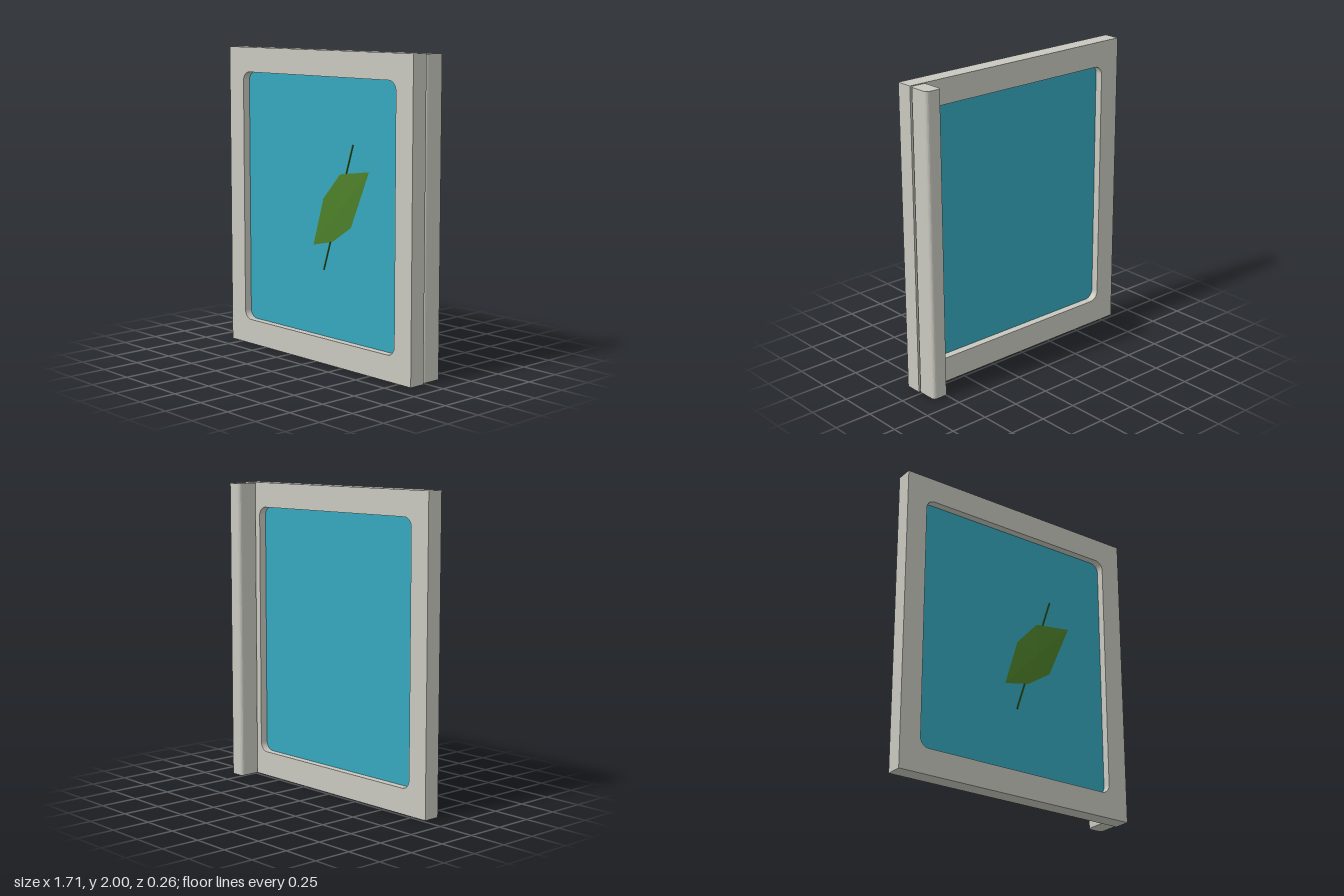
import * as THREE from 'three';

// Rounded rectangle outline, for a shape or a hole
function roundedRect(path, x0, y0, x1, y1, r) {
  path.moveTo(x0 + r, y0);
  path.lineTo(x1 - r, y0);
  path.absarc(x1 - r, y0 + r, r, -Math.PI / 2, 0, false);
  path.lineTo(x1, y1 - r);
  path.absarc(x1 - r, y1 - r, r, 0, Math.PI / 2, false);
  path.lineTo(x0 + r, y1);
  path.absarc(x0 + r, y1 - r, r, Math.PI / 2, Math.PI, false);
  path.lineTo(x0, y0 + r);
  path.absarc(x0 + r, y0 + r, r, Math.PI, Math.PI * 1.5, false);
  return path;
}

export function createModel() {
  const group = new THREE.Group();
  const material = (name, color, side = THREE.FrontSide) => {
    const m = new THREE.MeshStandardMaterial({ color, side });
    m.name = name;
    return m;
  };
  const frameMat = material('warmGrey', 0xc9c8bf);
  const glassMat = material('blueGlass', 0x36a8bf);
  const leafMat = material('leafGreen', 0x4d8029, THREE.DoubleSide);
  const stemMat = material('stemGreen', 0x36601c);

  const add = (name, geometry, mat) => {
    const mesh = new THREE.Mesh(geometry, mat);
    mesh.name = name;
    group.add(mesh);
    return mesh;
  };

  // Frame with a rounded window opening
  const W = 0.855;
  const outline = new THREE.Shape();
  outline.moveTo(-W, 0).lineTo(W, 0).lineTo(W, 2).lineTo(-W, 2).closePath();
  outline.holes.push(roundedRect(new THREE.Path(), -0.713, 0.165, 0.713, 1.837, 0.06));
  const frame = add('frame', new THREE.ExtrudeGeometry(outline, {
    depth: 0.11, bevelEnabled: false, curveSegments: 5,
  }), frameMat);
  frame.position.z = 0.02;

  // Pane set in the middle of the frame's depth
  const pane = add('pane', new THREE.ExtrudeGeometry(
    roundedRect(new THREE.Shape(), -0.715, 0.163, 0.715, 1.839, 0.06),
    { depth: 0.008, bevelEnabled: false, curveSegments: 5 }), glassMat);
  pane.position.z = 0.071;

  // Upright post with softened edges behind the frame's left side
  const post = add('post', new THREE.ExtrudeGeometry(
    roundedRect(new THREE.Shape(), 0.742, -0.02, 0.852, 0.13, 0.022),
    { depth: 1.99, bevelEnabled: false, curveSegments: 2 }), frameMat);
  post.rotation.x = -Math.PI / 2;
  post.position.y = 0.005;

  // Six-pointed leaf, slightly raised in the middle
  const rim = [[-0.07, 0.75], [0.11, 0.79], [0.28, 0.9], [0.44, 1.265], [0.18, 1.228], [0.025, 1.06]];
  const verts = [];
  rim.forEach((p, i) => {
    const q = rim[(i + 1) % rim.length];
    verts.push(0.185, 1.008, 0.09, ...p, 0.084, ...q, 0.084);
  });
  const leafGeo = new THREE.BufferGeometry();
  leafGeo.setAttribute('position', new THREE.Float32BufferAttribute(verts, 3));
  leafGeo.computeVertexNormals();
  add('leaf', leafGeo, leafMat);

  // Thin stem passing behind the leaf
  const dx = 0.268, dy = 0.82;
  const stem = add('stem', new THREE.BoxGeometry(0.009, Math.hypot(dx, dy), 0.006), stemMat);
  stem.position.set(0.159, 1.01, 0.081);
  stem.rotation.z = -Math.atan2(dx, dy);

  return group;
}
